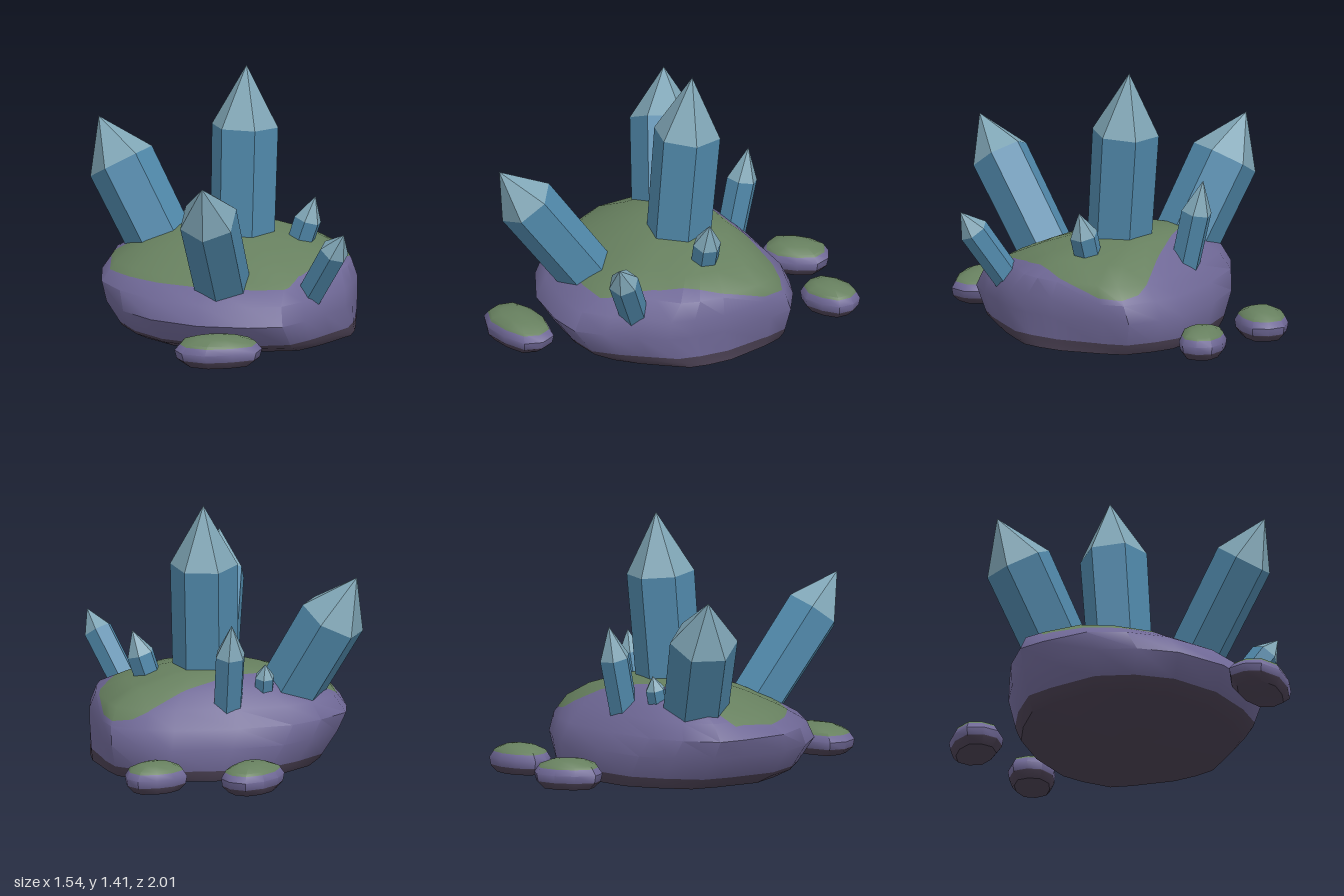
import * as THREE from 'three';
import { toCreasedNormals } from 'three/addons/utils/BufferGeometryUtils.js';

const MOSS = 0x67805f, STONE = 0x6f6896, SHADE = 0x4a4052;

// Plan outline of the boulder as [x, z], running back, right, front, left
const BOULDER = [
  [0.2, -0.68], [0.36, -0.66], [0.55, -0.6], [0.61, -0.47], [0.7, -0.18], [0.71, 0], [0.7, 0.14],
  [0.62, 0.3], [0.54, 0.46], [0.45, 0.6], [0.27, 0.66], [0, 0.68], [-0.28, 0.6], [-0.47, 0.46],
  [-0.61, 0.28], [-0.67, 0], [-0.68, -0.16], [-0.56, -0.34], [-0.42, -0.48], [-0.14, -0.6],
];

// Stack of scaled outlines, closed at both ends. Each ring is [y, xMin, xMax, zMin, zMax, lean],
// where lean undercuts the back-left corner and carries the opposite one outwards
function loft(outline, rings, topY) {
  const xs = outline.map((p) => p[0]), zs = outline.map((p) => p[1]);
  const xa = Math.min(...xs), xb = Math.max(...xs), za = Math.min(...zs), zb = Math.max(...zs);
  const loops = rings.map(([y, x0, x1, z0, z1, lean = 0]) => outline.map(([x, z]) => {
    const u = (x - xa) / (xb - xa), v = (z - za) / (zb - za);
    const shift = 4 * lean * (u - v) ** 2;
    return [x0 + (x1 - x0) * u - shift, y, z0 + (z1 - z0) * v + shift];
  }));
  const middle = ([, x0, x1, z0, z1], y) => [(x0 + x1) / 2, y, (z0 + z1) / 2];
  const n = outline.length, last = rings.length - 1, pos = [];
  const bottom = middle(rings[0], rings[0][0]), top = middle(rings[last], topY);
  for (let i = 0; i < n; i++) {
    const j = (i + 1) % n;
    pos.push(...loops[0][i], ...loops[0][j], ...bottom);
    for (let k = 0; k < last; k++) {
      const a = loops[k][i], b = loops[k][j], c = loops[k + 1][j], d = loops[k + 1][i];
      pos.push(...a, ...d, ...c, ...a, ...c, ...b);
    }
    pos.push(...loops[last][i], ...top, ...loops[last][j]);
  }
  const geo = new THREE.BufferGeometry();
  geo.setAttribute('position', new THREE.Float32BufferAttribute(pos, 3));
  return toCreasedNormals(geo, 0.75);
}

// Keeps the part of a triangle soup where rule(x, y, z) is positive
function clip(geo, rule) {
  const P = geo.attributes.position, N = geo.attributes.normal, pos = [], nor = [];
  for (let t = 0; t < P.count; t += 3) {
    const tri = [0, 1, 2].map((k) => {
      const p = new THREE.Vector3().fromBufferAttribute(P, t + k);
      return { p, n: new THREE.Vector3().fromBufferAttribute(N, t + k), f: rule(p.x, p.y, p.z) };
    });
    const poly = [];
    tri.forEach((a, k) => {
      const b = tri[(k + 1) % 3];
      if (a.f >= 0) poly.push(a);
      if ((a.f >= 0) !== (b.f >= 0)) {
        const s = a.f / (a.f - b.f);
        poly.push({ p: a.p.clone().lerp(b.p, s), n: a.n.clone().lerp(b.n, s).normalize() });
      }
    });
    for (let k = 1; k + 1 < poly.length; k++) {
      for (const v of [poly[0], poly[k], poly[k + 1]]) {
        pos.push(...v.p.toArray());
        nor.push(...v.n.toArray());
      }
    }
  }
  const out = new THREE.BufferGeometry();
  out.setAttribute('position', new THREE.Float32BufferAttribute(pos, 3));
  out.setAttribute('normal', new THREE.Float32BufferAttribute(nor, 3));
  return out;
}

function part(name, geo, color, flatShading = false) {
  const mesh = new THREE.Mesh(geo, new THREE.MeshStandardMaterial({ color, flatShading }));
  mesh.name = name;
  return mesh;
}

// A stone with a mossy top, a bare side and a dark foot
function mossyStone(name, geo, moss, footY) {
  const group = new THREE.Group();
  group.name = name;
  const bare = clip(geo, (x, y, z) => -moss(x, y, z));
  group.add(
    part('moss', clip(geo, moss), MOSS),
    part('stoneSide', clip(bare, (x, y) => y - footY), STONE),
    part('stoneFoot', clip(bare, (x, y) => footY - y), SHADE));
  return group;
}

// Six-sided prism from base to shoulder with a pointed tip on the same axis
function crystal({ name, base, shoulder, r, tip, roll = 0 }) {
  const from = new THREE.Vector3(...base), axis = new THREE.Vector3(...shoulder).sub(from);
  const length = axis.length();
  const group = new THREE.Group();
  group.name = name;
  const shaft = new THREE.CylinderGeometry(r, r * 0.96, length, 6).translate(0, length / 2, 0);
  const point = new THREE.ConeGeometry(r, tip, 6, 1, true).translate(0, length + tip / 2, 0);
  group.add(
    part('shaft', shaft.rotateY(roll), 0x5088aa, true),
    part('tip', point.rotateY(roll), 0x7fa5b5, true));
  group.position.copy(from);
  group.quaternion.setFromUnitVectors(new THREE.Vector3(0, 1, 0), axis.normalize());
  return group;
}

// Small chunky oval stone, long axis turned about y
function pebble(name, x, z, halfLength, halfWidth, turn) {
  const outline = [];
  for (let i = 0; i < 10; i++) {
    const a = i / 10 * Math.PI * 2, k = 1 + 0.05 * Math.sin(i * 2.3);
    outline.push([Math.cos(a) * k, Math.sin(a) * k]);
  }
  const rings = [[0.02, 0.75], [0.055, 0.95], [0.1, 1], [0.145, 0.83], [0.168, 0.5]].map(
    ([y, s]) => [y, -halfLength * s, halfLength * s, -halfWidth * s, halfWidth * s]);
  const stone = mossyStone(name, loft(outline, rings, 0.18), (px, y) => y - 0.132, 0.06);
  stone.position.set(x, 0, z);
  stone.rotation.y = turn;
  return stone;
}

export function createModel() {
  const model = new THREE.Group();
  model.name = 'crystalRock';

  // Boulder; moss stops short of the back-right and left flanks
  const rings = [
    [0, -0.47, 0.73, -0.66, 0.47, 0.03],
    [0.04, -0.53, 0.725, -0.67, 0.58, 0.022],
    [0.18, -0.63, 0.715, -0.67, 0.69, 0.008],
    [0.28, -0.68, 0.705, -0.61, 0.64],
    [0.37, -0.62, 0.67, -0.53, 0.48],
    [0.45, -0.46, 0.51, -0.44, 0.3],
    [0.515, -0.28, 0.28, -0.34, 0.11],
  ];
  const moss = (x, y, z) => Math.min(
    y - 0.325 - 0.04 * z, 0.8 * (z + 0.05 + 0.5 * (x + 0.6)), 0.65 - 0.314 * (z + 0.2) - x);
  model.add(mossyStone('boulder', loft(BOULDER, rings, 0.53), moss, 0.06));

  // Crystals
  [
    { name: 'mainCrystal', base: [0.08, 0.4, -0.07], shoulder: [0.083, 1.08, -0.125], r: 0.182, tip: 0.33, roll: Math.PI / 6 },
    { name: 'frontCrystal', base: [0.095, 0.31, 0.42], shoulder: [0.095, 0.8, 0.778], r: 0.16, tip: 0.25 },
    { name: 'rightCrystal', base: [-0.32, 0.3, -0.12], shoulder: [-0.615, 0.82, -0.2], r: 0.184, tip: 0.27, roll: -Math.PI / 12 },
    { name: 'backCrystal', base: [-0.07, 0.35, -0.41], shoulder: [-0.09, 0.67, -0.48], r: 0.085, tip: 0.18 },
    { name: 'leftCrystal', base: [0.36, 0.38, -0.13], shoulder: [0.425, 0.58, -0.135], r: 0.077, tip: 0.135 },
    { name: 'frontLeftCrystal', base: [0.517, 0.245, 0.29], shoulder: [0.7, 0.56, 0.41], r: 0.082, tip: 0.13 },
    { name: 'tinyCrystal', base: [-0.25, 0.38, -0.29], shoulder: [-0.26, 0.515, -0.32], r: 0.055, tip: 0.075 },
  ].forEach((spec) => model.add(crystal(spec)));

  // Loose pebbles
  model.add(
    pebble('frontPebble', 0.165, 0.84, 0.235, 0.145, 0.3),
    pebble('backRightPebble', -0.235, -0.82, 0.185, 0.135, 0.95),
    pebble('backLeftPebble', 0.28, -0.86, 0.17, 0.125, 0.55));
  return model;
}
